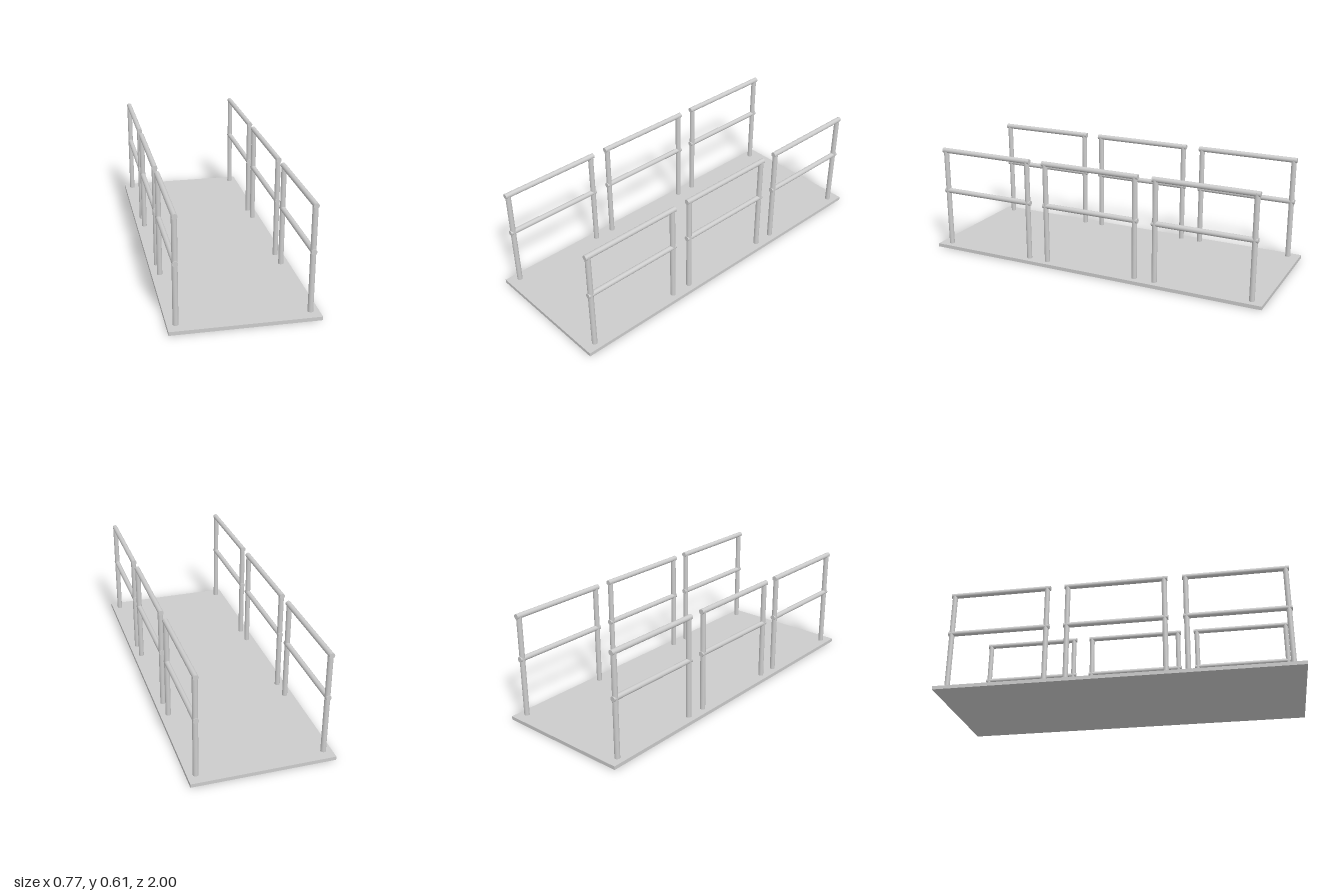
import * as THREE from 'three';

const DECK = { width: 0.77, height: 0.02, length: 2 };
const RADIUS = 0.0145;
const POST_TOP = 0.598;
const RAIL_LENGTH = 0.58;
const POST_OFFSET = 0.272;

export function createModel() {
  const model = new THREE.Group();
  model.name = 'walkway';
  const material = new THREE.MeshStandardMaterial({ color: 0xcccccc });

  const addMesh = (parent, name, geometry, x, y, z) => {
    const mesh = new THREE.Mesh(geometry, material);
    mesh.name = name;
    mesh.position.set(x, y, z);
    parent.add(mesh);
  };

  // Flat deck
  addMesh(model, 'deck', new THREE.BoxGeometry(DECK.width, DECK.height, DECK.length), 0, DECK.height / 2, 0);

  // Shared tube geometries: upright posts and rails running along z
  const postHeight = POST_TOP - DECK.height;
  const postGeometry = new THREE.CylinderGeometry(RADIUS, RADIUS, postHeight, 32);
  const railGeometry = new THREE.CylinderGeometry(RADIUS, RADIUS, RAIL_LENGTH, 32).rotateX(Math.PI / 2);

  // Three railing sections on each side
  for (const [side, x] of [['left', 0.34], ['right', -0.34]]) {
    for (const [place, z] of [['Front', 0.662], ['Middle', 0], ['Back', -0.662]]) {
      const railing = new THREE.Group();
      railing.name = `${side}${place}Railing`;
      railing.position.set(x, 0, z);
      addMesh(railing, 'frontPost', postGeometry, 0, DECK.height + postHeight / 2, POST_OFFSET);
      addMesh(railing, 'backPost', postGeometry, 0, DECK.height + postHeight / 2, -POST_OFFSET);
      addMesh(railing, 'handrail', railGeometry, 0, 0.593, 0);
      addMesh(railing, 'midRail', railGeometry, 0, 0.351, 0);
      model.add(railing);
    }
  }

  return model;
}
